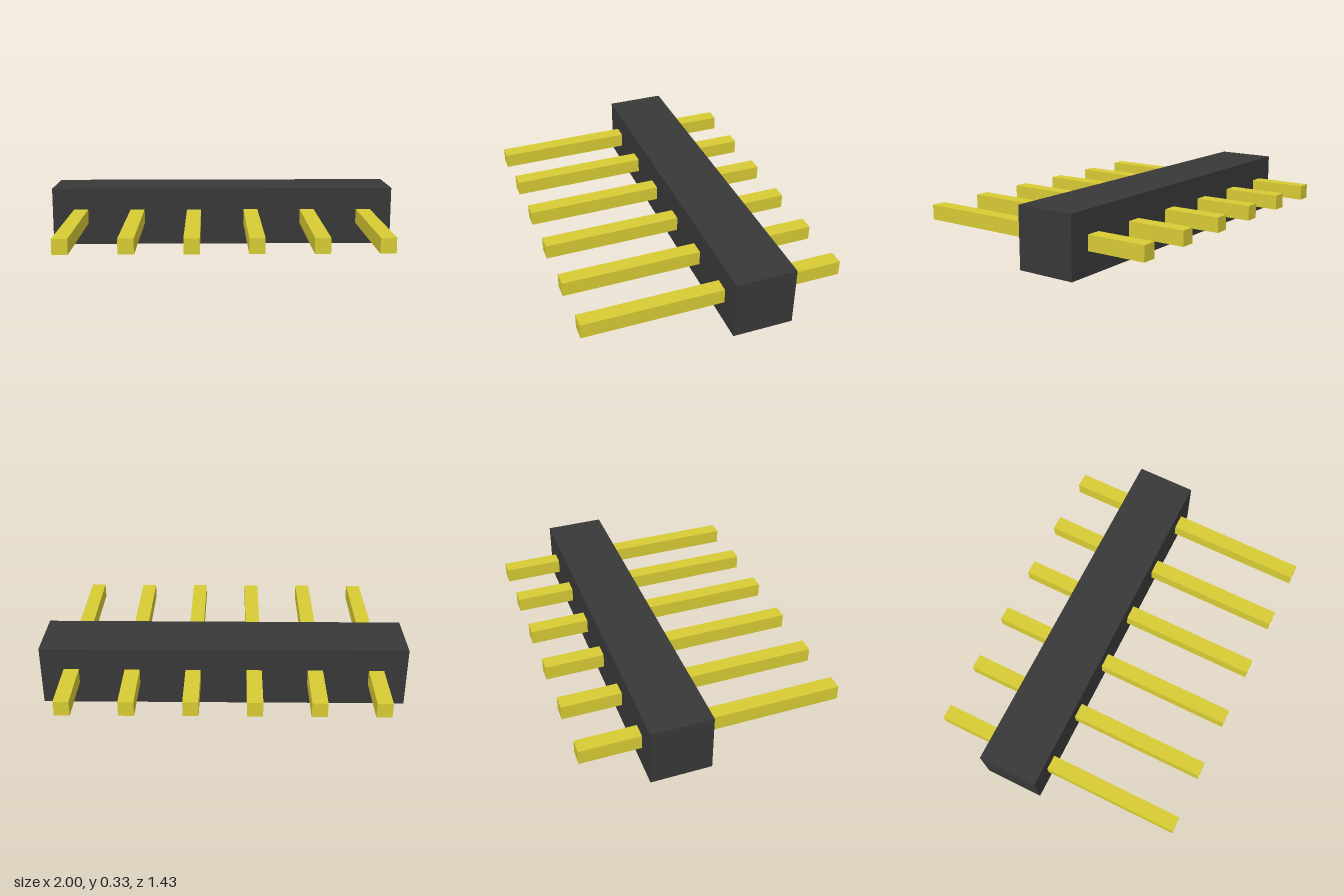
import * as THREE from 'three';

const PIN_COUNT = 6;
const PITCH = 2 / PIN_COUNT;   // spacing, also the side of the square housing
const PIN_SIZE = 0.083;
const PIN_LENGTH = 1.43;

export function createModel() {
  const model = new THREE.Group();
  model.name = 'pinHeader';

  const plastic = new THREE.MeshStandardMaterial({ color: 0x383838 });
  const metal = new THREE.MeshStandardMaterial({ color: 0xd8cc34 });

  // Square plastic bar, set towards the back
  const housing = new THREE.Mesh(new THREE.BoxGeometry(2, PITCH, PITCH), plastic);
  housing.name = 'housing';
  housing.position.set(0, PITCH / 2, -0.218);
  model.add(housing);

  // Row of square pins running through the bar
  const pinGeometry = new THREE.BoxGeometry(PIN_SIZE, PIN_SIZE, PIN_LENGTH);
  for (let i = 0; i < PIN_COUNT; i++) {
    const pin = new THREE.Mesh(pinGeometry, metal);
    pin.name = `pin${i + 1}`;
    pin.position.set((i - (PIN_COUNT - 1) / 2) * PITCH, PITCH / 2, 0);
    model.add(pin);
  }

  return model;
}
